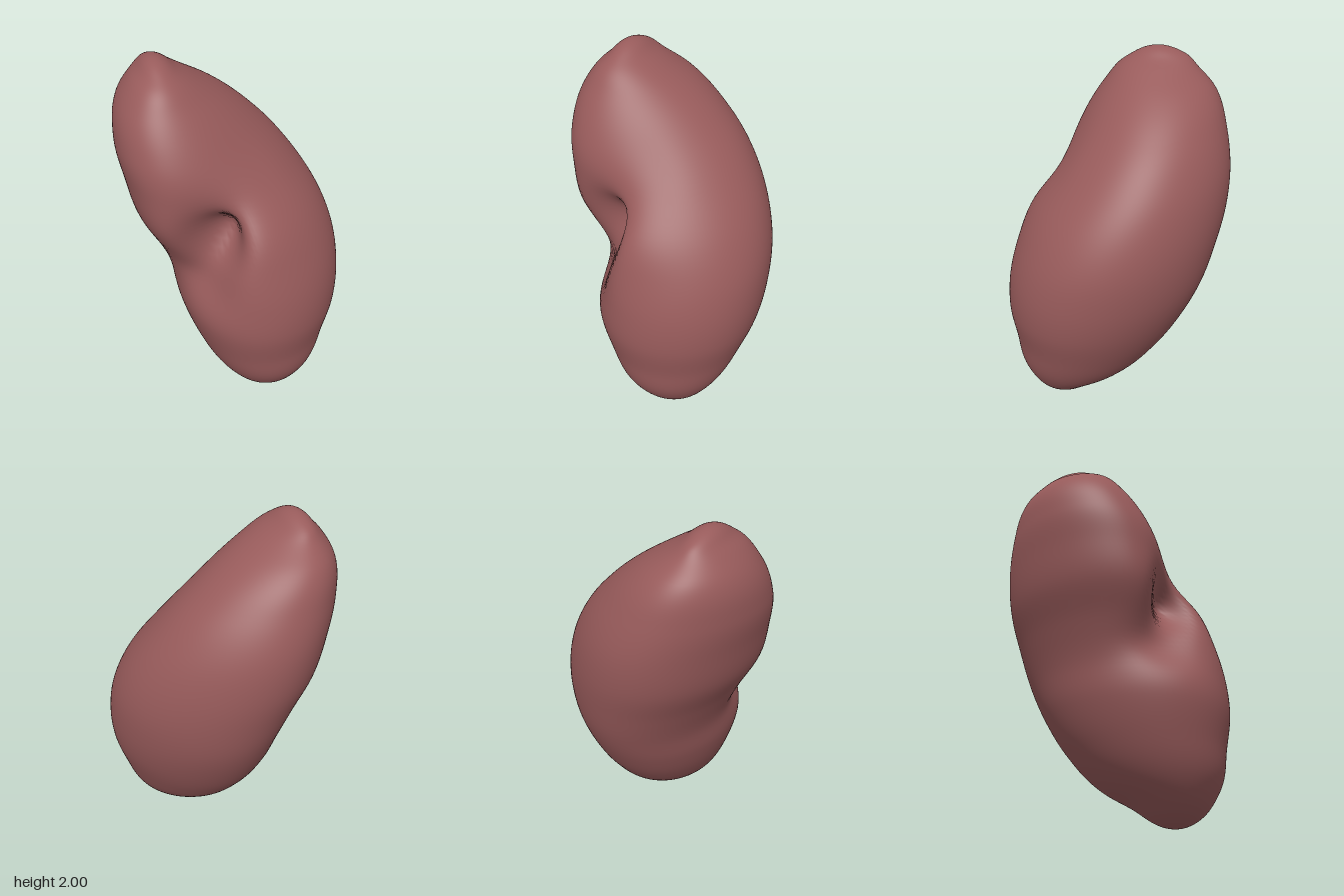
import * as THREE from 'three';
import { mergeVertices } from 'three/addons/utils/BufferGeometryUtils.js';

// Horizontal sections of the leaning body: height, x range, z range
const SECTIONS = [
  [0.1, -0.10, 0.32, 0.08, 0.49],
  [0.2, -0.19, 0.40, -0.09, 0.55],
  [0.4, -0.29, 0.49, -0.285, 0.59],
  [0.6, -0.35, 0.555, -0.41, 0.62],
  [0.8, -0.375, 0.58, -0.50, 0.605],
  [1.0, -0.44, 0.57, -0.56, 0.555],
  [1.2, -0.53, 0.51, -0.605, 0.485],
  [1.4, -0.565, 0.40, -0.615, 0.36],
  [1.6, -0.585, 0.24, -0.585, 0.23],
  [1.8, -0.54, 0.01, -0.51, 0.10],
  [1.9, -0.47, -0.15, -0.41, 0.02],
  [1.95, -0.415, -0.23, -0.36, -0.05],
];

// Smooth interpolation of centre and roundness over the height
function sectionCurve() {
  const times = [0], values = [0.12, 0.3, 0.47, 0.46];
  for (const [y, x0, x1, z0, z1] of SECTIONS) {
    const s = Math.sqrt(y * (2 - y)) * 2;
    times.push(y);
    values.push((x0 + x1) / 2, (z0 + z1) / 2, (x1 - x0) / s, (z1 - z0) / s);
  }
  times.push(2);
  values.push(-0.33, -0.2, 0.3, 0.48);
  return new THREE.CubicInterpolant(times, values, 4, new Float32Array(4));
}

const bell = (a, b) => Math.exp(-a * a - b * b);

export function createModel() {
  const group = new THREE.Group();
  group.name = 'kidney';

  const geometry = new THREE.SphereGeometry(1, 128, 96);
  const curve = sectionCurve();
  const pos = geometry.attributes.position;
  const R = Math.SQRT1_2;

  for (let i = 0; i < pos.count; i++) {
    const sx = pos.getX(i), sz = pos.getZ(i);
    let y = THREE.MathUtils.clamp(pos.getY(i) + 1, 0, 2);
    const [cx, cz, rx, rz] = curve.evaluate(y);
    const dx = sx * rx, dz = sz * rz;
    const upper = THREE.MathUtils.smoothstep(y, 0.9, 1.7);

    // u runs from the hollow side to the convex side, v across it;
    // the upper lobe is wider along u, and all sections bulge to the hollow side
    const q = (sx - sz) * R;
    const bulge = (0.07 + 0.05 * upper) * (q * q - 0.5 * (sx * sx + sz * sz));
    let u = (cx - cz) * R + (dx - dz) * R * (1 + 0.08 * upper) - bulge;
    let v = (cx + cz) * R + (dx + dz) * R * (1 - 0.06 * upper);

    // Shallow concave side, then the deep pit (hilum) and the saddle under it
    const facing = THREE.MathUtils.smoothstep(-q, 0.0, 0.45);
    const dent = 0.11 * facing * bell((y - 1.26) / 0.26, (v - 0.06) / 0.22);
    const pit = facing * bell((y - 1.14) / 0.15, (v - 0.04) / 0.13);
    const saddle = 0.09 * facing * bell((y - 0.9) / 0.14, (v + 0.02) / 0.18);
    u += dent + 0.21 * pit + saddle;
    v += 0.05 * pit;
    y += 0.05 * pit;

    pos.setXYZ(i, (u + v) * R, y, (v - u) * R);
  }

  // Weld the seam so the shading is continuous
  geometry.deleteAttribute('uv');
  geometry.deleteAttribute('normal');
  const welded = mergeVertices(geometry, 1e-5);
  welded.computeVertexNormals();

  const body = new THREE.Mesh(welded, new THREE.MeshStandardMaterial({ color: 0x985b5b }));
  body.name = 'kidneyBody';
  group.add(body);
  return group;
}
